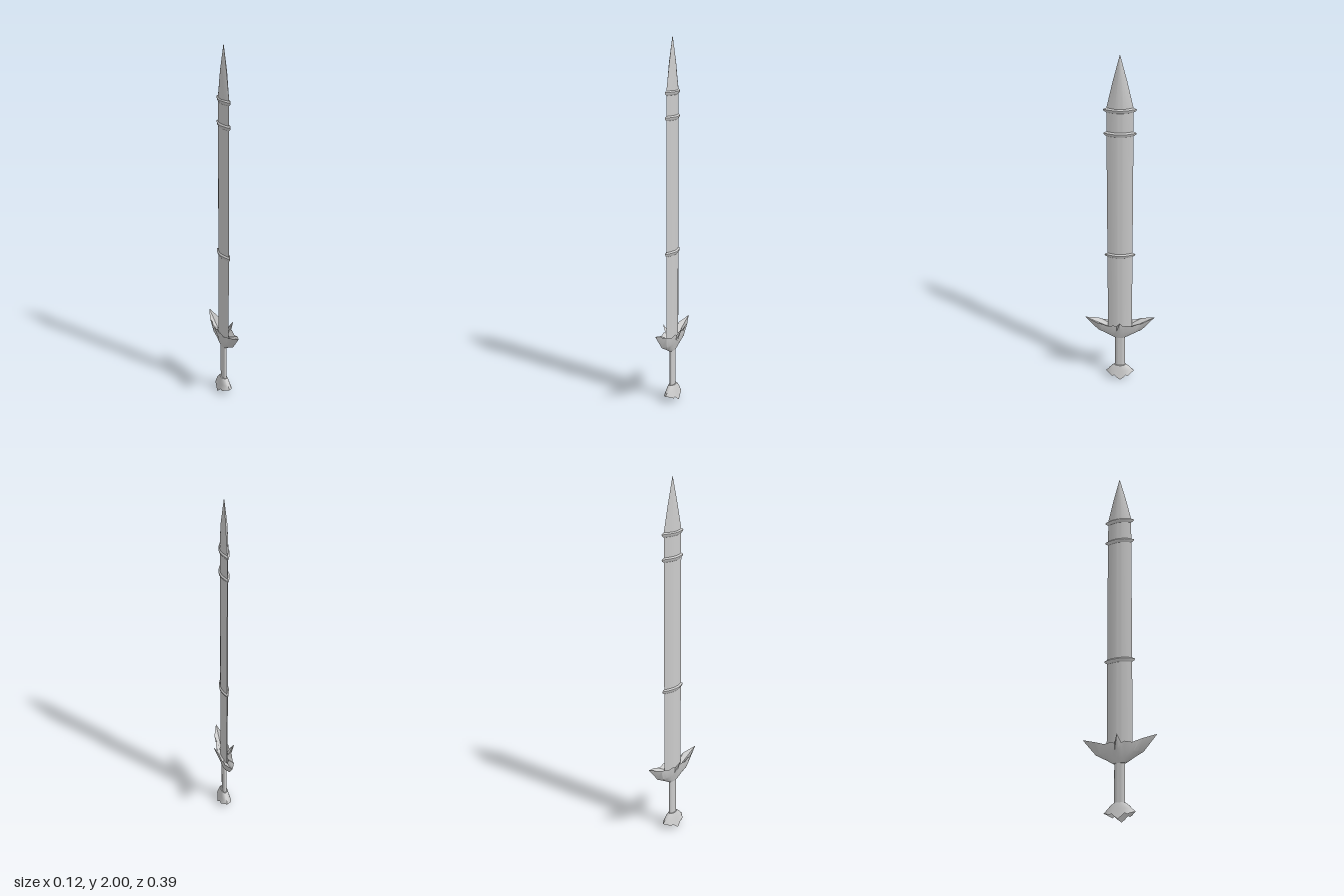
import * as THREE from 'three';
import { toCreasedNormals } from 'three/addons/utils/BufferGeometryUtils.js';

const material = new THREE.MeshStandardMaterial({ color: 0xcccccc, side: THREE.DoubleSide });

// Mirrors a quarter outline (from the x axis to the z axis) into a closed loop.
function mirrorQuarter(q) {
  const half = [...q, ...q.slice(0, -1).reverse().map(([x, y, z]) => [-x, y, z])];
  return [...half, ...half.slice(1, -1).reverse().map(([x, y, z]) => [x, y, -z])];
}

// Pointed lens section; power near 1 gives a diamond, 2 gives a parabola.
function lens(y, hx, hz, power = 1.8, n = 8) {
  const q = [];
  for (let i = 0; i <= n; i++) {
    const s = i / n;
    q.push([hx * (1 - s ** power), y, hz * s]);
  }
  return mirrorQuarter(q);
}

function ellipse(y, hx, hz, n = 6) {
  const q = [];
  for (let i = 0; i <= n; i++) {
    const a = (i / n) * Math.PI / 2;
    q.push([i === n ? 0 : hx * Math.cos(a), y, hz * Math.sin(a)]);
  }
  return mirrorQuarter(q);
}

// Skins loops listed from bottom to top.
function loft(name, loops, crease = 0.6) {
  const n = loops[0].length;
  const index = [];
  for (let k = 0; k < loops.length - 1; k++) {
    for (let i = 0; i < n; i++) {
      const j = (i + 1) % n;
      const a = k * n + i, b = k * n + j;
      index.push(a, a + n, b, b, a + n, b + n);
    }
  }
  const geometry = new THREE.BufferGeometry();
  geometry.setAttribute('position', new THREE.Float32BufferAttribute(loops.flat(2), 3));
  geometry.setIndex(index);
  const mesh = new THREE.Mesh(toCreasedNormals(geometry, crease), material);
  mesh.name = name;
  return mesh;
}

export function createModel() {
  const group = new THREE.Group();
  group.name = 'sword';

  // Blade with a long pointed end
  group.add(loft('blade', [lens(0.32, 0.018, 0.068), lens(1.58, 0.018, 0.068),
    lens(1.71, 0.017, 0.066)], 0.3));
  group.add(loft('bladeTip', [lens(1.705, 0, 0), lens(1.705, 0.02, 0.071),
    lens(1.86, 0.016, 0.036), lens(2, 0, 0)], 0.3));

  // Bands around the blade
  for (const y of [0.853, 1.58, 1.71]) {
    group.add(loft('band', [lens(y - 0.013, 0.018, 0.068), lens(y - 0.005, 0.024, 0.081),
      lens(y + 0.004, 0.025, 0.084), lens(y + 0.012, 0.018, 0.068)]));
  }

  // Guard: a flared cup with two long wings and two side spikes
  const rim = [[0.06, 0.43, 0], [0.035, 0.388, 0.018], [0.036, 0.396, 0.035],
    [0.031, 0.388, 0.072], [0.025, 0.398, 0.1], [0.027, 0.405, 0.125], [0, 0.43, 0.197]];
  const belly = [[0.036, 0.36, 0], [0.03, 0.352, 0.018], [0.029, 0.35, 0.034],
    [0.027, 0.345, 0.06], [0.024, 0.343, 0.08], [0.018, 0.342, 0.1], [0, 0.342, 0.125]];
  const floor = rim.map(([x, , z]) => [x * 0.45, 0.365, z * 0.4]);
  group.add(loft('guard', [ellipse(0.29, 0, 0), ellipse(0.29, 0.013, 0.034),
    ellipse(0.312, 0.02, 0.07), mirrorQuarter(belly), mirrorQuarter(rim),
    mirrorQuarter(floor)]));

  // Grip
  group.add(loft('grip', [ellipse(0.075, 0, 0), ellipse(0.075, 0.012, 0.028),
    ellipse(0.3, 0.012, 0.028)]));

  // Pommel: a hollow bell with a scalloped hem
  const hem = [[0.04, 0, 0], [0.036, 0.013, 0.018], [0.033, 0.029, 0.034],
    [0.031, 0.022, 0.046], [0.024, 0.029, 0.058], [0.014, 0.034, 0.068], [0, 0.04, 0.082]];
  group.add(loft('pommel', [mirrorQuarter(hem), ellipse(0.055, 0.027, 0.066),
    ellipse(0.075, 0.022, 0.048), ellipse(0.087, 0.018, 0.032), ellipse(0.087, 0, 0)]));

  return group;
}
